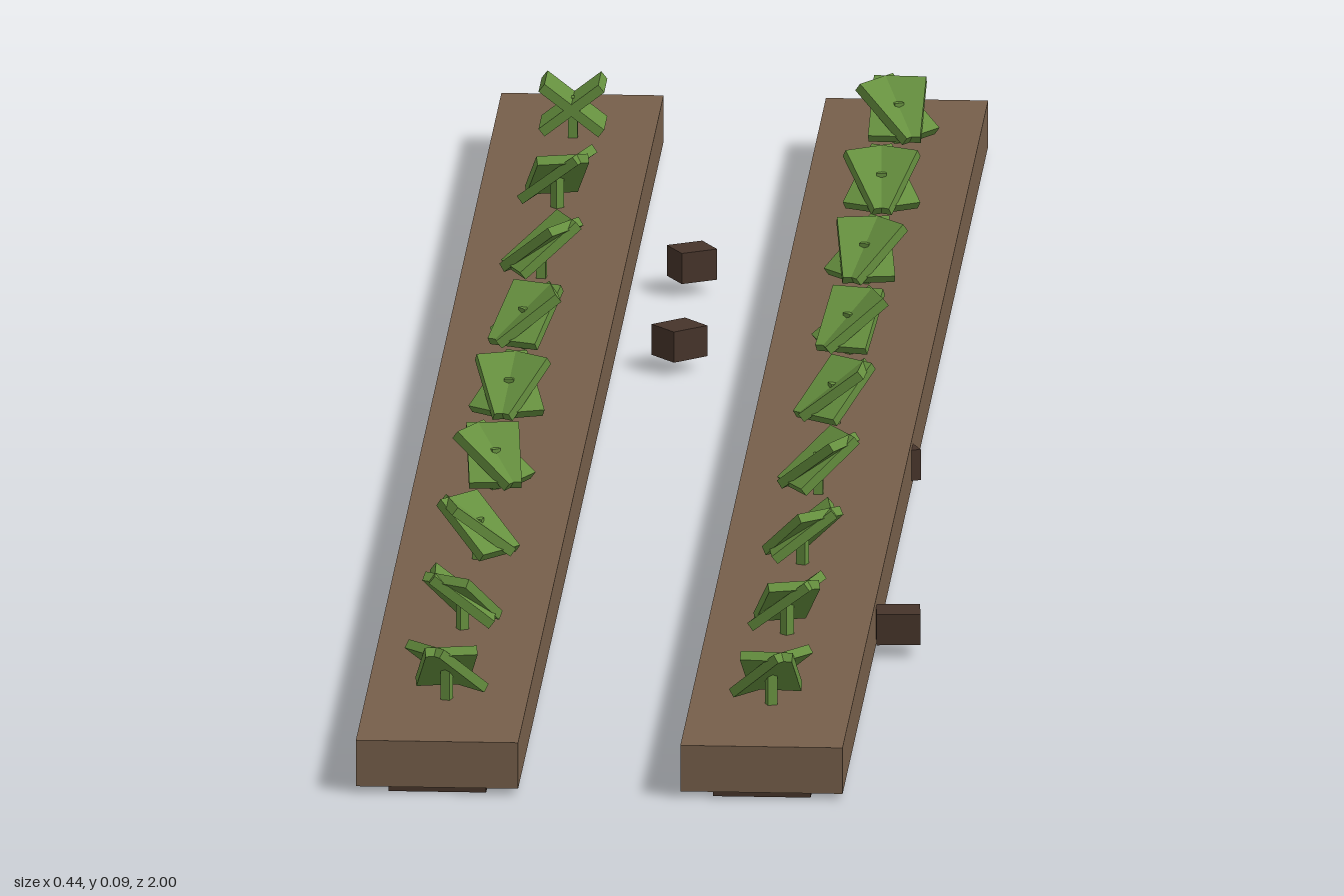
import * as THREE from 'three';

const mat = (name, color) => {
  const m = new THREE.MeshStandardMaterial({ color });
  m.name = name;
  return m;
};

export function createModel() {
  const soil = mat('soil brown', 0x765f4a);
  const darkSoil = mat('dark soil', 0x46342a);
  const leafGreen = mat('leaf green', 0x66903f);
  const root = new THREE.Group();
  root.name = 'cropRows';

  const box = (parent, name, material, size, pos) => {
    const mesh = new THREE.Mesh(new THREE.BoxGeometry(...size), material);
    mesh.name = name;
    mesh.position.set(...pos);
    parent.add(mesh);
    return mesh;
  };

  // Seedling: a short stem and two slanted leaf blades crossing at its middle
  const addPlant = (x, z, azimuth, spread) => {
    const plant = new THREE.Group();
    plant.name = 'seedling';
    plant.position.set(x, 0.044, z);
    plant.rotation.y = azimuth;
    box(plant, 'stem', leafGreen, [0.008, 0.036, 0.008], [0, 0.016, 0]);
    for (const side of [-1, 1]) {
      const leaf = box(plant, 'leafBlade', leafGreen, [0.043, 0.008, 0.062], [0, 0.028, 0]);
      leaf.rotation.order = 'YXZ';
      leaf.rotation.set(-0.66, side * spread / 2, 0);
    }
    root.add(plant);
  };

  // Two long planted beds, each on a narrow dark footing
  [-0.153, 0.113].forEach((x, row) => {
    box(root, 'bed', soil, [0.133, 0.039, 2], [x, 0.0245, 0]);
    box(root, 'bedFooting', darkSoil, [0.08, 0.006, 1.99], [x, 0.003, 0]);
    for (let i = 0; i < 9; i++) {
      const z = -0.868 + i * 0.217;
      const azimuth = row ? 3.6 - i * 0.4 : i * 0.75;
      const square = row === 0 && i === 0;
      addPlant(x, z, azimuth, square ? Math.PI : 1.0);
    }
  });

  // Loose clods of earth beside the beds
  const clods = [
    [-0.037, -0.56, 0.5, 0.032],
    [-0.033, -0.32, 0.7, 0.034],
    [0.168, 0.045, 0.4, 0.03],
    [0.198, 0.545, 0.08, 0.036],
  ];
  for (const [x, z, yaw, size] of clods) {
    box(root, 'clod', darkSoil, [size, 0.026, size * 0.9], [x, 0.024, z]).rotation.y = yaw;
  }
  return root;
}
